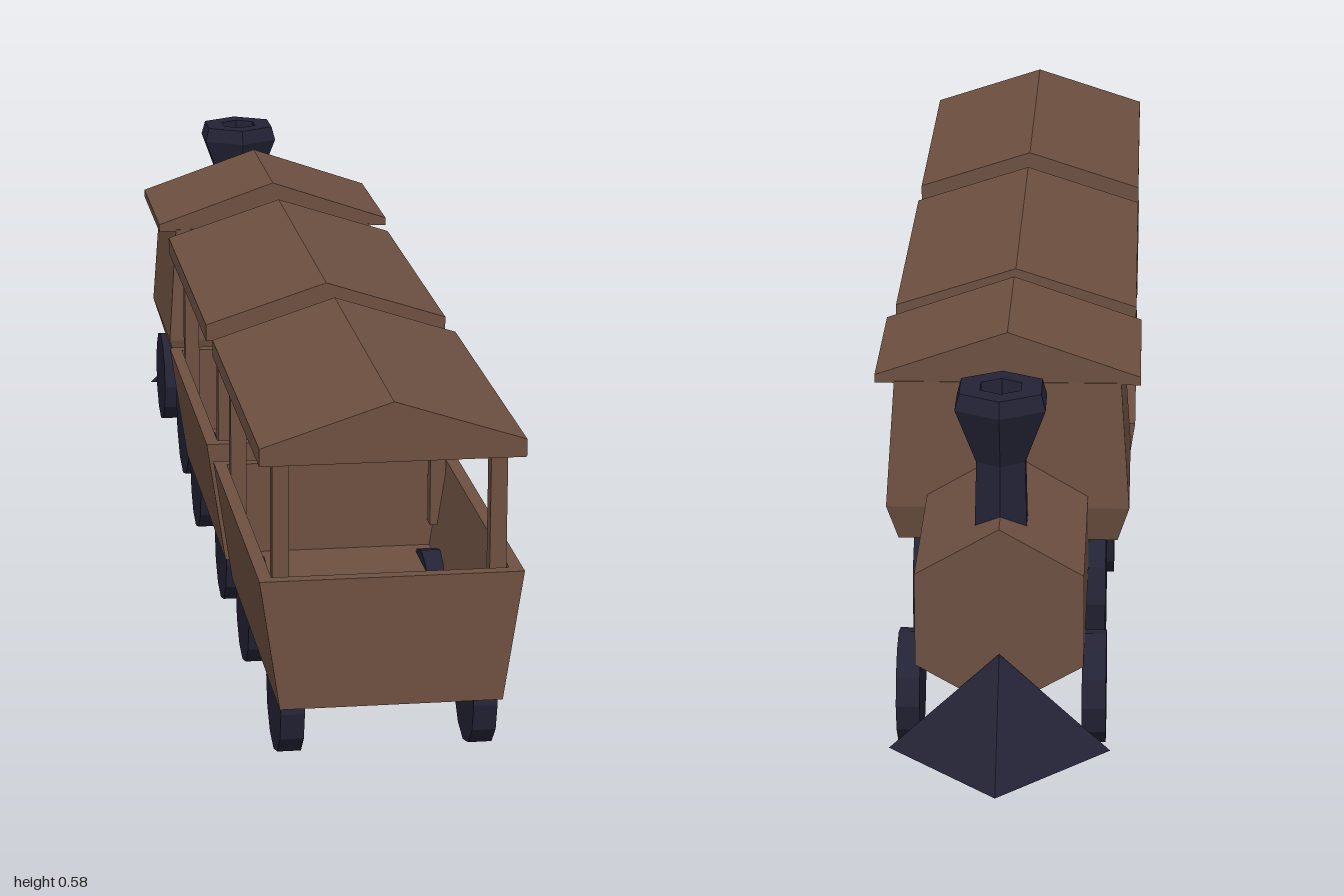
import * as THREE from 'three';
import { ConvexGeometry } from 'three/addons/geometries/ConvexGeometry.js';

const brown = new THREE.MeshStandardMaterial({ color: 0x6d5041 });
brown.name = 'brown wood';
const navy = new THREE.MeshStandardMaterial({ color: 0x232336 });
navy.name = 'dark navy metal';

// Faceted normals for low-poly parts
function faceted(geo) {
  const g = geo.index ? geo.toNonIndexed() : geo;
  g.computeVertexNormals();
  return g;
}

function add(parent, name, geo, mat, x = 0, y = 0, z = 0) {
  const mesh = new THREE.Mesh(geo, mat);
  mesh.name = name;
  mesh.position.set(x, y, z);
  parent.add(mesh);
  return mesh;
}

// Cross-section of [z, y] points, extruded along x and centred
function section(points, length) {
  const shape = new THREE.Shape(points.map(([z, y]) => new THREE.Vector2(-z, y)));
  const geo = new THREE.ExtrudeGeometry(shape, { depth: length, bevelEnabled: false });
  return geo.translate(0, 0, -length / 2).rotateY(Math.PI / 2);
}

// Solid gabled roof
function roof(half, base, eave, ridge, length) {
  return section([[-half, base], [half, base], [half, eave], [0, ridge], [-half, eave]], length);
}

function lathe(profile, segments, start) {
  const pts = profile.map(([r, y]) => new THREE.Vector2(r, y));
  return new THREE.LatheGeometry(pts, segments, start);
}

function wheelPair(parent, name, x, radius, track) {
  const geo = faceted(new THREE.CylinderGeometry(radius, radius, 0.036, 12).rotateX(Math.PI / 2));
  for (const s of [-1, 1]) add(parent, name, geo, navy, x, radius + 0.003, s * track);
}

function createLocomotive() {
  const loco = new THREE.Group();
  loco.name = 'locomotive';

  // Six-sided boiler
  const boiler = new THREE.CylinderGeometry(0.145, 0.145, 0.605, 6, 1, false, Math.PI / 6);
  add(loco, 'boiler', faceted(boiler.rotateZ(Math.PI / 2)), brown, -0.6775, 0.247, 0);

  // Cab with bulging walls and gabled roof
  const q = Math.SQRT2;
  const cab = lathe([[0, 0.242], [0.172 * q, 0.242], [0.19 * q, 0.3], [0.176 * q, 0.503], [0, 0.503]], 4, Math.PI / 4);
  add(loco, 'cab', faceted(cab.scale(0.81, 1, 1)), brown, -0.501, 0, 0);
  add(loco, 'cabRoof', roof(0.206, 0.5, 0.513, 0.584, 0.282), brown, -0.501, 0, 0);

  // Hollow flared chimney
  const chimney = lathe([[0.045, 0.36], [0.042, 0.47], [0.0775, 0.557], [0.07, 0.582],
    [0.035, 0.582], [0.03, 0.53], [0, 0.53]], 6, Math.PI / 6);
  add(loco, 'chimney', faceted(chimney), navy, -0.885, 0, 0);

  // Pointed track guard
  const guard = [[-1.153, 0.04, 0], [-0.984, 0.04, 0.166], [-0.984, 0.04, -0.166], [-0.984, 0.195, 0]];
  add(loco, 'trackGuard', new ConvexGeometry(guard.map((p) => new THREE.Vector3(...p))), navy);

  wheelPair(loco, 'frontWheel', -0.857, 0.086, 0.14);
  wheelPair(loco, 'driveWheel', -0.492, 0.115, 0.135);
  return loco;
}

function createCarriage(x) {
  const car = new THREE.Group();
  car.name = 'carriage';
  car.position.x = x;
  const bottom = 0.105, top = 0.305, wb = 0.167, wt = 0.197, t = 0.02;

  // Flared walls around a raised floor
  const side = [[wb - t, bottom], [wb, bottom], [wt, top], [wt - t, top]];
  const end = section([[-wb, bottom], [wb, bottom], [wt, top], [-wt, top]], t);
  for (const s of [-1, 1]) {
    const wall = section(side, 0.6);
    if (s < 0) wall.rotateY(Math.PI);
    add(car, 'sideWall', wall, brown);
    add(car, 'endWall', end, brown, s * 0.29, 0, 0);
  }
  add(car, 'floor', new THREE.BoxGeometry(0.57, 0.015, 0.31), brown, 0, 0.148, 0);

  // Corner posts and roof
  const post = new THREE.BoxGeometry(0.025, 0.29, 0.025);
  for (const sx of [-1, 1]) {
    for (const sz of [-1, 1]) add(car, 'post', post, brown, sx * 0.259, 0.345, sz * 0.162);
    wheelPair(car, 'carriageWheel', sx * 0.195, 0.086, 0.145);
  }
  add(car, 'carriageRoof', roof(0.197, 0.481, 0.508, 0.572, 0.6), brown);
  return car;
}

export function createModel() {
  const model = new THREE.Group();
  model.name = 'steamTrain';

  // The train stands diagonally
  const train = new THREE.Group();
  train.name = 'train';
  const angle = THREE.MathUtils.degToRad(28.5);
  train.rotation.y = -angle;
  train.position.set(0.026 * Math.sin(angle), 0, -0.026 * Math.cos(angle));
  train.add(createLocomotive(), createCarriage(0.02), createCarriage(0.714));
  model.add(train);
  return model;
}
